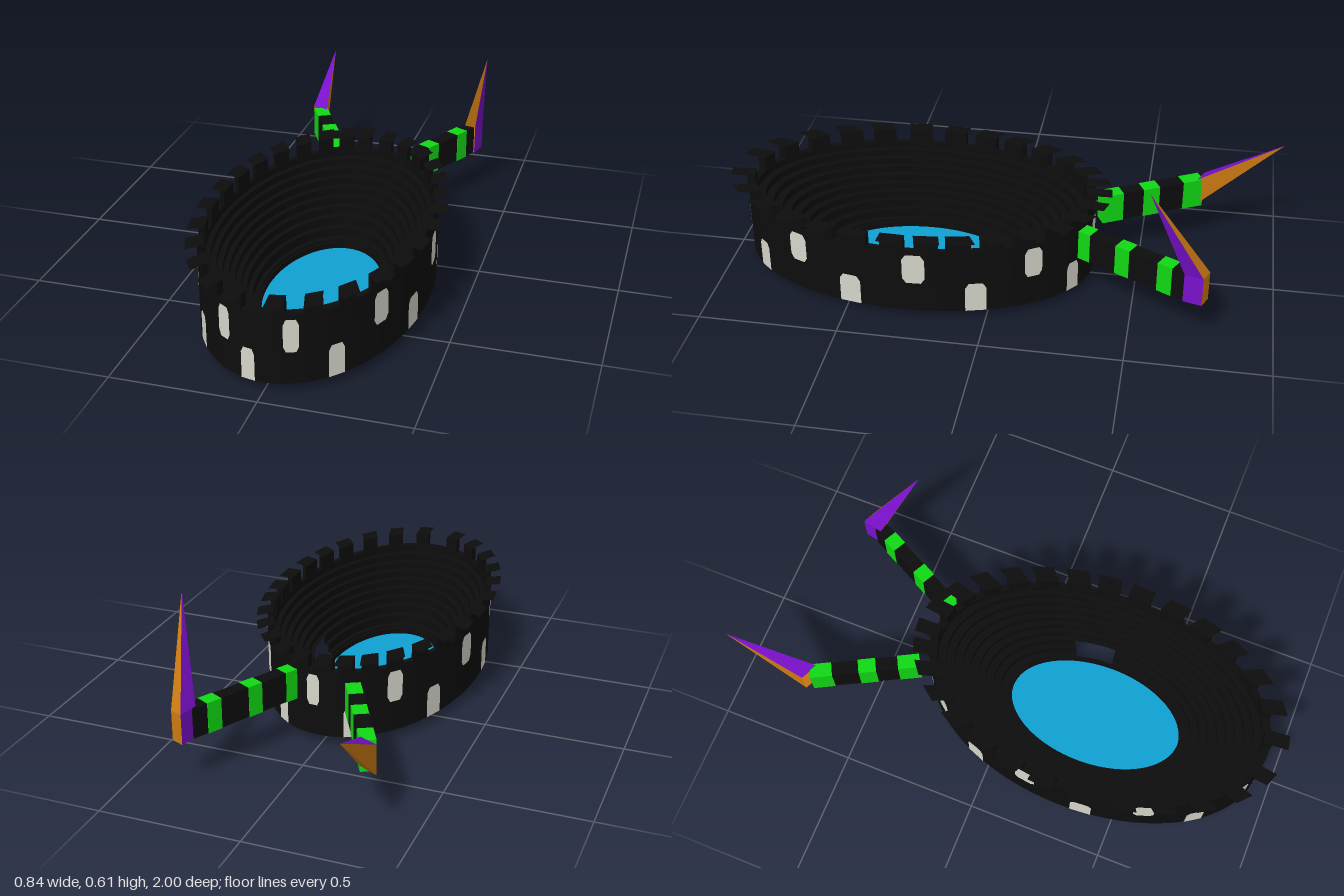
import * as THREE from 'three';
import { toCreasedNormals } from 'three/addons/utils/BufferGeometryUtils.js';

const mat = (name, color) => {
  const m = new THREE.MeshStandardMaterial({ color, side: THREE.DoubleSide });
  m.name = name;
  return m;
};

export function createModel() {
  const black = mat('black', 0x0d0d0d);
  const blue = mat('blue', 0x0fa0d2);
  const pale = mat('pale grey', 0xd6d6cb);
  const green = mat('green', 0x11d914);
  const purple = mat('purple', 0x7a10cc);
  const orange = mat('orange', 0xcc7a12);

  const model = new THREE.Group();
  model.name = 'arena';
  const add = (parent, name, geometry, material) => {
    const mesh = new THREE.Mesh(geometry, material);
    mesh.name = name;
    parent.add(mesh);
    return mesh;
  };

  // The bowl is modelled as a circle and squeezed in x into an oval
  const bowl = new THREE.Group();
  bowl.name = 'bowl';
  bowl.position.z = 0.3;
  bowl.scale.x = 0.597;
  model.add(bowl);
  const R = 0.641;
  const lathe = (name, pts, start = 0, length = Math.PI * 2) => add(bowl, name, toCreasedNormals(
    new THREE.LatheGeometry(pts.map(p => new THREE.Vector2(...p)), 112, start, length), 0.5), black);

  // Stepped profile going outward and upward
  const steps = (r0, y0, r1, y1, n) => {
    const pts = [[r0, y0]];
    for (let i = 0; i < n; i++) {
      const r = r0 + (r1 - r0) * (i + 1) / n;
      pts.push([r, y0 + (y1 - y0) * i / n], [r, y0 + (y1 - y0) * (i + 1) / n]);
    }
    return pts;
  };

  lathe('outerWall', [[R, 0.035], [R, 0.285], [0.61, 0.285]]);
  lathe('baseRim', [[0.33, 0], [0.33, 0.026], [0.342, 0.026], [0.342, 0.035]]);
  // The lowest tiers leave an entrance open on one side
  lathe('lowerTiers', steps(0.342, 0.035, 0.4, 0.1, 2), 2.0, Math.PI * 2 - 0.4);
  lathe('upperTiers', steps(0.4, 0.1, 0.61, 0.285, 7));

  const floor = add(bowl, 'floor', new THREE.CircleGeometry(0.33, 96), blue);
  floor.rotation.x = -Math.PI / 2;
  floor.position.y = 0.004;

  // Battlements: a post under a flat plate that overhangs the wall
  const toothAngles = [0.12, 0.41, 0.67, 0.92, 1.13, 1.33, 1.54, 1.73, 1.91, 2.11, 2.31, 2.52, 2.74, 2.96, 3.19,
    -0.24, -0.5, -0.76, -1, -1.22, -1.45, -1.67, -1.87, -2.07, -2.28, -2.5, -2.71, -2.91];
  const postGeo = new THREE.BoxGeometry(0.085, 0.05, 0.03).translate(0, 0.31, R - 0.015);
  const plateGeo = new THREE.PlaneGeometry(0.088, 0.09).rotateX(-Math.PI / 2).translate(0, 0.336, 0.655);
  for (const t of toothAngles) {
    add(bowl, 'battlementPost', postGeo, black).rotation.y = t;
    add(bowl, 'battlementPlate', plateGeo, black).rotation.y = t;
  }

  // Two staggered rows of windows, the lower ones with a flat sill
  const windowGeo = (y0, y1, flatSill) => {
    const w = 0.04, c = 0.014, d = 0.02, b = flatSill ? 0 : c, e = flatSill ? 0 : d;
    const pts = [[-w + b, y0], [w - b, y0], [w, y0 + e], [w, y1 - d], [w - c, y1], [c - w, y1], [-w, y1 - d], [-w, y0 + e]];
    return new THREE.ShapeGeometry(new THREE.Shape(pts.map(p => new THREE.Vector2(...p)))).translate(0, 0, R + 0.0015);
  };
  const lowGeo = windowGeo(0.036, 0.15, true), highGeo = windowGeo(0.15, 0.266, false);
  for (let i = 0; i < 9; i++) {
    add(bowl, 'lowerWindow', lowGeo, pale).rotation.y = -0.13 + i * 0.71;
    add(bowl, 'upperWindow', highGeo, pale).rotation.y = 0.235 + i * 0.71;
  }

  // Striped arms: cuts are distances along the arm, starting with green
  const arm = (name, from, to, cuts) => {
    const g = new THREE.Group();
    g.name = name;
    const dx = to[0] - from[0], dz = to[1] - from[1], length = Math.hypot(dx, dz);
    g.position.set(from[0], 0.21, from[1]);
    g.rotation.y = Math.atan2(dx, dz);
    model.add(g);
    for (let i = 0; i + 1 < cuts.length; i++) {
      const a = cuts[i] * length, b = cuts[i + 1] * length, grow = i % 2 ? 0 : 0.003;
      add(g, i % 2 ? 'darkBand' : 'greenBand', new THREE.BoxGeometry(0.05 + grow, 0.11 + grow, b - a)
        .translate(0, 0, (a + b) / 2), i % 2 ? black : green);
    }
  };
  arm('leftArm', [0.115, -0.31], [0.318, -0.7], [0, 0.11, 0.35, 0.48, 0.74, 0.87, 1]);
  arm('rightArm', [-0.125, -0.35], [-0.312, -0.705], [0, 0.2, 0.4, 0.56, 0.8, 1]);

  // Flat-faced polygons made from corner points
  const face = (parent, name, corners, material) => {
    const pos = [];
    for (let i = 1; i + 1 < corners.length; i++) pos.push(...corners[0], ...corners[i], ...corners[i + 1]);
    const geo = new THREE.BufferGeometry();
    geo.setAttribute('position', new THREE.Float32BufferAttribute(pos, 3));
    geo.computeVertexNormals();
    add(parent, name, geo, material);
  };
  const spike = (name, base, tip, colours) => {
    const g = new THREE.Group();
    g.name = name;
    model.add(g);
    base.forEach((p, i) => face(g, 'spikeSide', [p, base[(i + 1) % 4], tip], colours[i]));
    return g;
  };
  const lo = 0.155, hi = 0.265;

  // Upright spike on a short block at the end of the left arm
  const foot = [[0.297, -0.69], [0.34, -0.68], [0.358, -0.745], [0.313, -0.765]];
  const at = y => foot.map(([x, z]) => [x, y, z]);
  const bottom = at(lo), top = at(hi);
  const leftSpike = spike('leftSpike', top, [0.4, 0.61, -0.55], [orange, purple, orange, purple]);
  for (let i = 0; i < 4; i++) {
    const j = (i + 1) % 4;
    face(leftSpike, 'spikeBlock', [bottom[i], bottom[j], top[j], top[i]], i % 2 ? purple : orange);
  }
  face(leftSpike, 'spikeBlockBottom', [...bottom].reverse(), orange);

  // Backward spike growing from the end of the right arm
  spike('rightSpike', [[-0.345, hi, -0.72], [-0.282, hi, -0.69], [-0.282, lo, -0.69], [-0.345, lo, -0.72]],
    [-0.333, 0.412, -1], [purple, orange, orange, orange]);

  return model;
}
